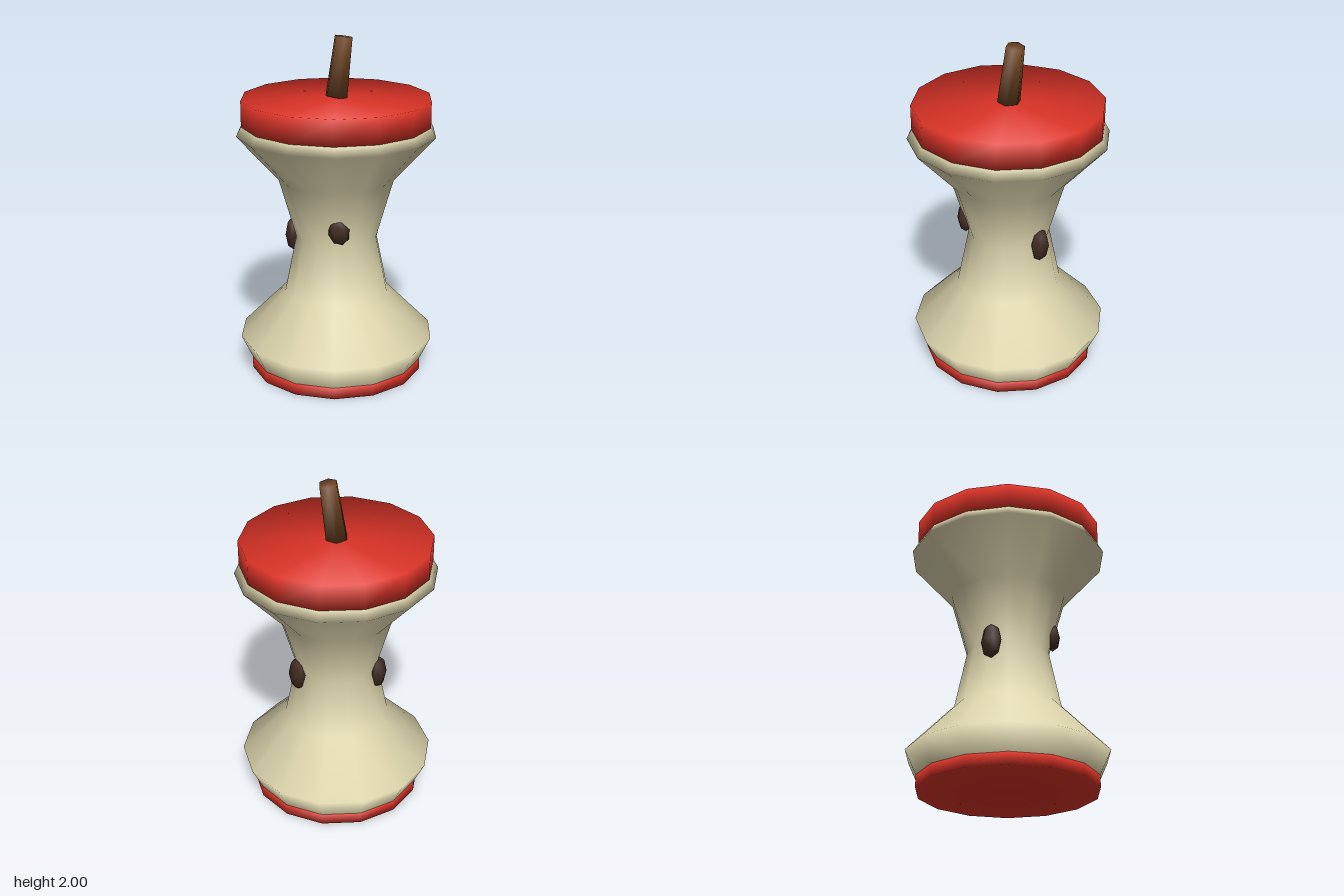
import * as THREE from 'three';

const SIDES = 14;

function material(name, color) {
  const m = new THREE.MeshStandardMaterial({ color });
  m.name = name;
  return m;
}

// Cylinder whose normals run smoothly over its rims
function softCylinder(rTop, rBottom, height, sides) {
  const geo = new THREE.CylinderGeometry(rTop, rBottom, height, sides);
  geo.rotateY(Math.PI / 2);
  const p = geo.attributes.position;
  const n = geo.attributes.normal;
  for (let i = 0; i < p.count; i++) {
    const up = Math.sign(p.getY(i));
    const r = up > 0 ? rTop : rBottom;
    n.setXYZ(i, 0.74 * p.getX(i) / r, 0.67 * up, 0.74 * p.getZ(i) / r);
  }
  return geo;
}

export function createModel() {
  const group = new THREE.Group();
  group.name = 'appleCore';

  const flesh = material('cream flesh', 0xe0d8b0);
  const skin = material('red skin', 0xdb3327);
  const wood = material('brown stem', 0x6e4422);
  const pip = material('dark brown seed', 0x422c24);

  function add(name, geometry, mat, x = 0, y = 0, z = 0) {
    const mesh = new THREE.Mesh(geometry, mat);
    mesh.name = name;
    mesh.position.set(x, y, z);
    group.add(mesh);
    return mesh;
  }

  // Eaten core
  const profile = [
    [0.49, 0.02], [0.515, 0.07], [0.58, 0.21], [0.31, 0.485], [0.24, 0.825],
    [0.34, 1.175], [0.58, 1.445], [0.55, 1.5], [0.5, 1.6],
  ].map(([r, y]) => new THREE.Vector2(r, y));
  const coreGeo = new THREE.LatheGeometry(profile, SIDES);
  coreGeo.rotateY(Math.PI / 2);
  add('core', coreGeo, flesh);

  // Skin left at the top and bottom
  add('topSkin', softCylinder(0.55, 0.55, 0.15, SIDES), skin, 0, 1.575, 0);
  add('bottomSkin', softCylinder(0.515, 0.515, 0.07, SIDES), skin, 0, 0.035, 0);

  // Leaning stem
  const stem = add('stem', softCylinder(0.054, 0.067, 0.345, 6), wood, 0.026, 1.821, 0);
  stem.rotation.z = -0.152;

  // Seeds set in the neck: x, y, z, half height, roll
  const seeds = [
    [0.26, 0.825, 0, 0.105, 0],
    [-0.145, 0.925, 0.215, 0.083, 0.25],
    [-0.175, 0.81, -0.19, 0.105, 0],
  ];
  seeds.forEach(([x, y, z, half, roll], i) => {
    const geo = new THREE.SphereGeometry(1, 6, 4);
    geo.scale(0.062, half, 0.05);
    const seed = add(`seed${i + 1}`, geo, pip, x, y, z);
    seed.rotation.order = 'YXZ';
    seed.rotation.set(0, Math.atan2(x, z), roll);
  });

  return group;
}
